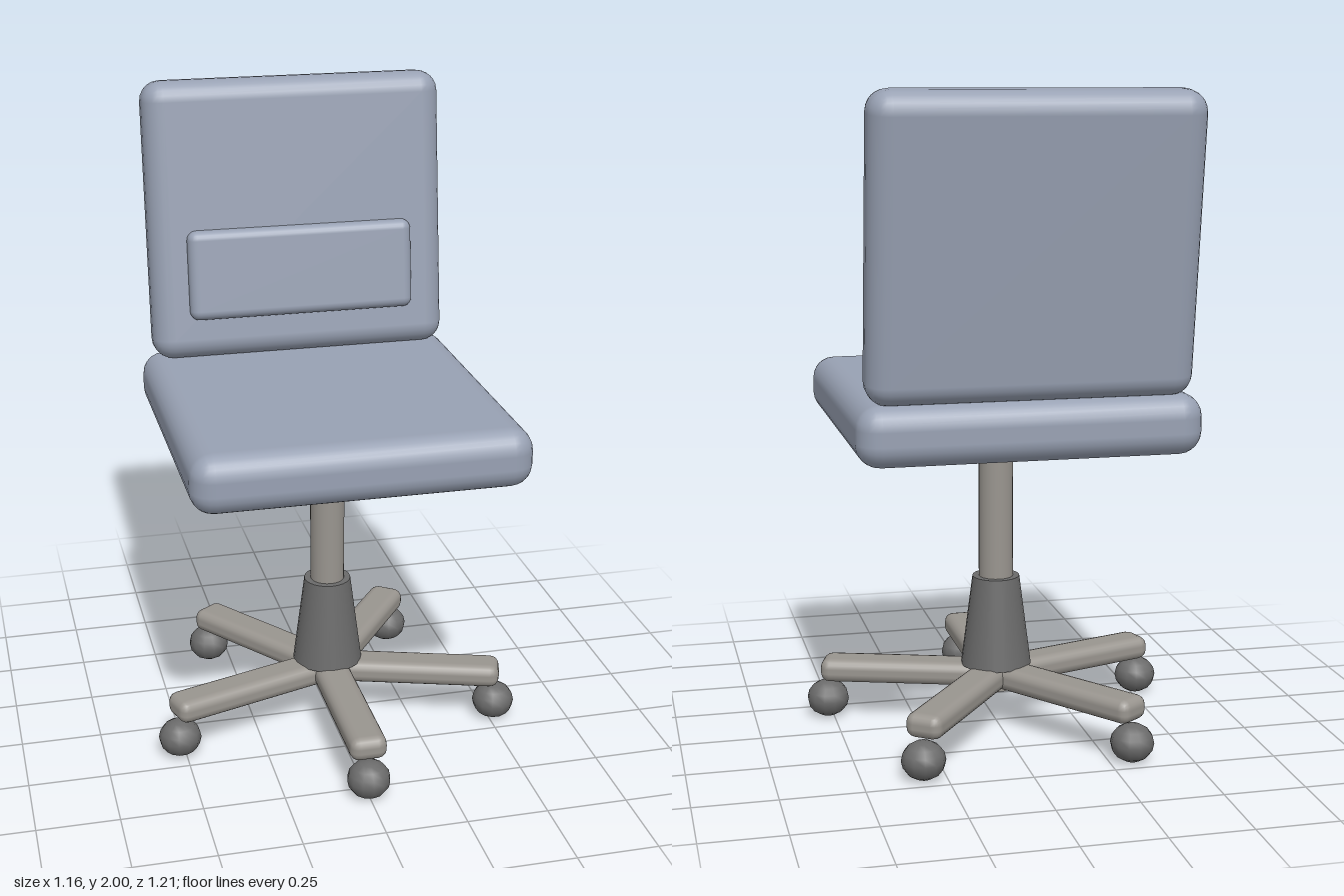
import * as THREE from 'three';
import { RoundedBoxGeometry } from 'three/addons/geometries/RoundedBoxGeometry.js';

const fabric = new THREE.MeshStandardMaterial({ color: 0x98a1b3 });
const metal = new THREE.MeshStandardMaterial({ color: 0x99958f });
const dark = new THREE.MeshStandardMaterial({ color: 0x6b6b6b });

function addMesh(parent, name, geometry, material, x, y, z) {
  const mesh = new THREE.Mesh(geometry, material);
  mesh.name = name;
  mesh.position.set(x, y, z);
  parent.add(mesh);
  return mesh;
}

export function createModel() {
  const chair = new THREE.Group();
  chair.name = 'officeChair';

  // Seat cushion
  addMesh(chair, 'seat', new RoundedBoxGeometry(1.02, 0.182, 1.04, 3, 0.07), fabric, 0, 1.035, 0);

  // Backrest leaning backwards, with a lumbar pad on its front
  const back = new THREE.Group();
  back.name = 'back';
  back.position.set(0, 1.56, -0.473);
  back.rotation.x = -THREE.MathUtils.degToRad(7);
  chair.add(back);
  addMesh(back, 'backrest', new RoundedBoxGeometry(0.96, 0.884, 0.163, 3, 0.065), fabric, 0, 0, 0);
  addMesh(back, 'lumbarPad', new RoundedBoxGeometry(0.73, 0.286, 0.07, 3, 0.03), fabric, 0, -0.168, 0.084);

  // Gas lift column and its tapered cover
  addMesh(chair, 'column', new THREE.CylinderGeometry(0.054, 0.054, 0.81, 24), metal, 0, 0.517, 0);
  addMesh(chair, 'columnCover', new THREE.CylinderGeometry(0.074, 0.111, 0.287, 24), dark, 0, 0.338, 0);

  // Five-star base: one leg points straight forward
  const legGeometry = new RoundedBoxGeometry(0.116, 0.075, 0.56, 2, 0.03);
  const casterGeometry = new THREE.SphereGeometry(0.067, 12, 8).scale(1, 0.88, 1);
  for (let i = 0; i < 5; i++) {
    const spoke = new THREE.Group();
    spoke.name = `baseSpoke${i + 1}`;
    spoke.rotation.y = (i * Math.PI * 2) / 5;
    addMesh(spoke, 'leg', legGeometry, metal, 0, 0.162, 0.28);
    addMesh(spoke, 'caster', casterGeometry, dark, 0, 0.06, 0.543);
    chair.add(spoke);
  }
  return chair;
}
